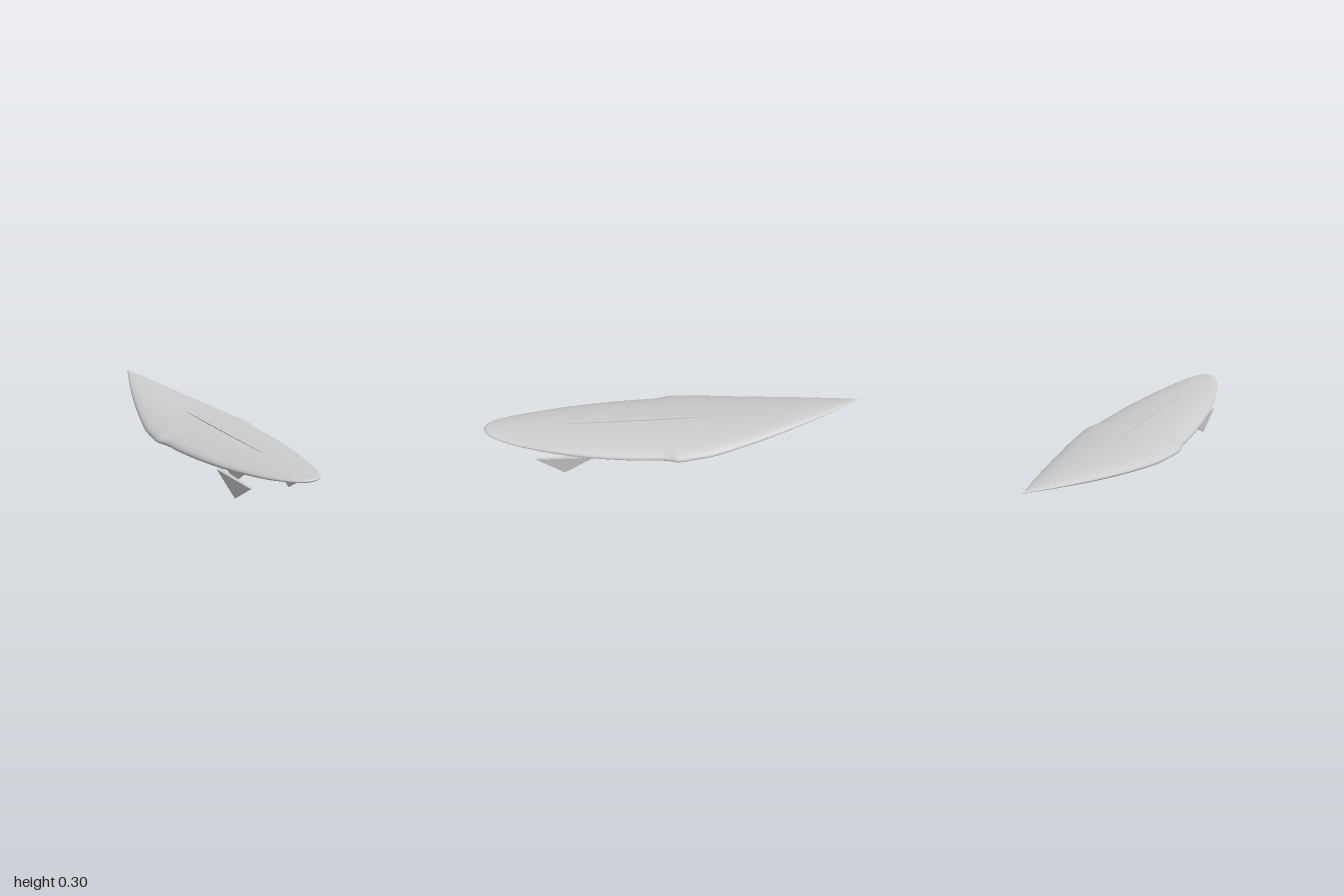
import * as THREE from 'three';
import { ParametricGeometry } from 'three/addons/geometries/ParametricGeometry.js';

const foam = new THREE.MeshStandardMaterial({ color: 0xcccccc });
foam.name = 'lightGrey';

// Board stations from nose to tail: z, half width, bottom y, top y
const stations = [
  [-1, 0, 0.299, 0.301], [-0.97, 0.011, 0.291, 0.300], [-0.8, 0.076, 0.25, 0.284],
  [-0.6, 0.145, 0.205, 0.266], [-0.4, 0.206, 0.167, 0.249], [-0.2, 0.26, 0.138, 0.237],
  [-0.08, 0.279, 0.13, 0.234], [0, 0.288, 0.128, 0.233], [0.05, 0.274, 0.128, 0.233],
  [0.1, 0.265, 0.129, 0.233], [0.2, 0.26, 0.132, 0.233], [0.4, 0.238, 0.144, 0.234],
  [0.6, 0.2, 0.16, 0.236], [0.8, 0.143, 0.185, 0.238], [0.9, 0.103, 0.203, 0.24],
  [0.95, 0.075, 0.213, 0.24], [0.985, 0.042, 0.222, 0.24], [1, 0, 0.232, 0.234],
];

// Smooth hull swept through the stations with an oval section
function boardGeometry() {
  const spline = (pick) => new THREE.CatmullRomCurve3(stations.map(pick), false, 'catmullrom');
  const lower = spline(([z, w, b]) => new THREE.Vector3(w, b, z));
  const upper = spline(([z, w, , t]) => new THREE.Vector3(w, t, z));
  const lo = new THREE.Vector3(), hi = new THREE.Vector3();
  return new ParametricGeometry((u, v, target) => {
    lower.getPoint(v, lo);
    upper.getPoint(v, hi);
    const a = u * Math.PI * 2;
    const rail = lo.y + (hi.y - lo.y) * 0.42;
    const s = Math.sin(a);
    const y = rail + s * (s > 0 ? hi.y - rail : rail - lo.y);
    target.set(Math.max(lo.x, 0) * Math.cos(a), y, lo.z);
  }, 48, 102);
}

// Wedge fin: thick leading edge, thin trailing edge, narrow tip
function finGeometry(zLead, zTrail, zTip, yTip) {
  const yTop = 0.132;
  const edges = [[0.0135, yTop, zLead], [0.006, yTop, zTrail], [0.003, yTip, zTip]];
  const pos = edges.flatMap(([h, y, z]) => [h, y, z, -h, y, z]);
  const g = new THREE.BufferGeometry();
  g.setAttribute('position', new THREE.Float32BufferAttribute(pos, 3));
  g.setIndex([
    0, 4, 2, 1, 3, 5,        // sides
    0, 1, 5, 0, 5, 4,        // leading edge
    2, 4, 5, 2, 5, 3,        // trailing edge
    0, 2, 3, 0, 3, 1,        // top
  ]);
  const flat = g.toNonIndexed();
  flat.computeVertexNormals();
  // turn any inward-facing triangles outward
  const p = flat.attributes.position;
  const c = new THREE.Vector3(0, (2 * yTop + yTip) / 3, (zLead + zTrail + zTip) / 3);
  const [A, B, C] = [0, 1, 2].map(() => new THREE.Vector3());
  for (let i = 0; i < p.count; i += 3) {
    A.fromBufferAttribute(p, i);
    B.fromBufferAttribute(p, i + 1);
    C.fromBufferAttribute(p, i + 2);
    const n = B.clone().sub(A).cross(C.clone().sub(A));
    if (n.dot(A.clone().sub(c)) < 0) {
      p.setXYZ(i + 1, C.x, C.y, C.z);
      p.setXYZ(i + 2, B.x, B.y, B.z);
    }
  }
  flat.computeVertexNormals();
  return flat;
}

export function createModel() {
  const group = new THREE.Group();
  group.name = 'surfboard';
  const add = (name, geometry, x = 0, y = 0, z = 0) => {
    const mesh = new THREE.Mesh(geometry, foam);
    mesh.name = name;
    mesh.position.set(x, y, z);
    group.add(mesh);
  };

  add('board', boardGeometry());

  // Straight strip just proud of the dished deck
  add('stringer', new THREE.BoxGeometry(0.008, 0.02, 0.84), 0, 0.2275, 0.16);

  // Fins under the board
  add('centreFin', finGeometry(0.12, 0.49, 0.33, 0), 0);
  const side = finGeometry(0.43, 0.73, 0.59, 0.033);
  add('leftFin', side, 0.154);
  add('rightFin', side, -0.154);

  return group;
}
